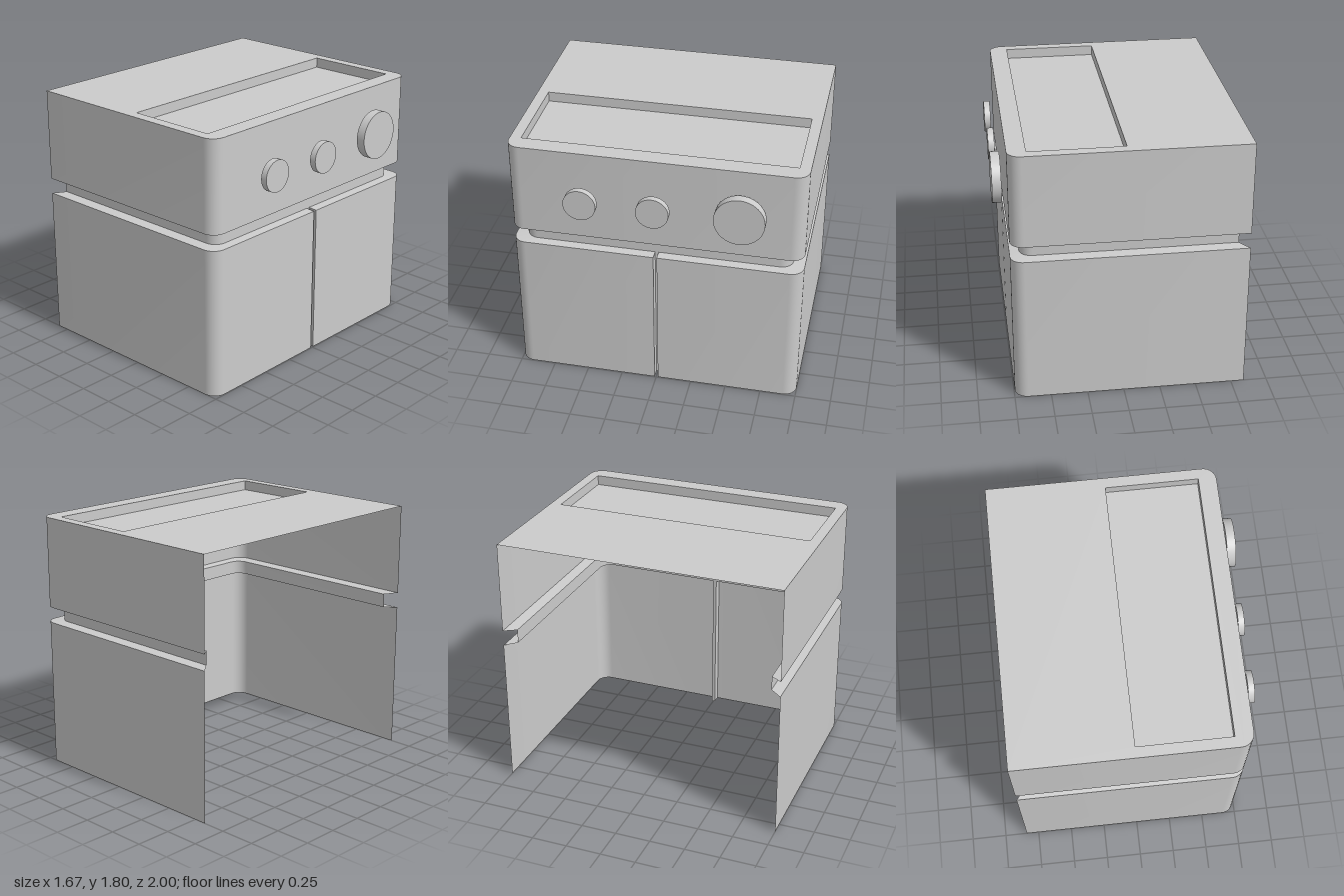
import * as THREE from 'three';
import { toCreasedNormals } from 'three/addons/utils/BufferGeometryUtils.js';

const BACK = -0.84, FACE = 0.745, HALF = 1, RADIUS = 0.09, HEIGHT = 1.8;
const MID = (BACK + FACE) / 2, INSET = 0.92, SLIT = 0.012;
const INNER_FACE = MID + (FACE - MID) * INSET;

const material = new THREE.MeshStandardMaterial({ color: 0xcccccc, side: THREE.DoubleSide });

function addMesh(parent, name, geometry) {
  const mesh = new THREE.Mesh(geometry, material);
  mesh.name = name;
  parent.add(mesh);
  return mesh;
}

// Open U-shaped outline [x, z]; the four middle points form the door slit
function outline(scale, slitX) {
  const half = [[BACK, HALF]];
  const steps = 8;
  for (let i = 0; i <= steps; i++) {
    const a = (Math.PI / 2) * (1 - i / steps);
    half.push([FACE - RADIUS + RADIUS * Math.cos(a), HALF - RADIUS + RADIUS * Math.sin(a)]);
  }
  const side = half.map(([x, z]) => [MID + (x - MID) * scale, z * scale]);
  side.push([MID + (FACE - MID) * scale, SLIT], [slitX, SLIT]);
  return [...side, ...side.slice().reverse().map(([x, z]) => [x, -z])];
}

// Skin a stack of outlines: rings = [{ y, points }]
function loft(rings) {
  const n = rings[0].points.length, positions = [], index = [];
  for (const { y, points } of rings) for (const [x, z] of points) positions.push(x, y, z);
  for (let j = 0; j < rings.length - 1; j++) {
    for (let i = 0; i < n - 1; i++) {
      const a = j * n + i, b = a + 1, c = b + n, d = a + n;
      index.push(a, b, c, a, c, d);
    }
  }
  const geometry = new THREE.BufferGeometry();
  geometry.setAttribute('position', new THREE.Float32BufferAttribute(positions, 3));
  geometry.setIndex(index);
  return toCreasedNormals(geometry, 0.5);
}

export function createModel() {
  const model = new THREE.Group();
  model.name = 'cabinet';

  const slitted = outline(1, INNER_FACE);
  const inner = outline(INSET, INNER_FACE);
  const outer = outline(1, FACE);

  // Lower cabinet with its door slit, recessed band and control panel
  addMesh(model, 'lowerCabinet', loft([
    { y: 0, points: slitted }, { y: 1.047, points: slitted }, { y: 1.052, points: inner },
  ]));
  addMesh(model, 'recessedBand', loft([{ y: 1.052, points: inner }, { y: 1.15, points: inner }]));
  addMesh(model, 'controlPanel', loft([
    { y: 1.15, points: inner }, { y: 1.157, points: outer }, { y: HEIGHT, points: outer },
  ]));

  // Worktop with a rectangular opening
  const x0 = -0.02, x1 = 0.62, z1 = 0.925, depth = 0.07;
  const rim = [[x0, z1], [x0, -z1], [x1, -z1], [x1, z1], [x0, z1]];
  const toVectors = (points) => points.map(([x, z]) => new THREE.Vector2(x, -z));
  const top = new THREE.Shape(toVectors(outer));
  top.holes.push(new THREE.Path(toVectors(rim)));
  addMesh(model, 'worktop', new THREE.ShapeGeometry(top).rotateX(-Math.PI / 2).translate(0, HEIGHT, 0));

  // Sunken tray
  addMesh(model, 'trayWalls', loft([{ y: HEIGHT - depth, points: rim }, { y: HEIGHT, points: rim }]));
  addMesh(model, 'trayFloor', new THREE.PlaneGeometry(x1 - x0, 2 * z1)
    .rotateX(-Math.PI / 2).translate((x0 + x1) / 2, HEIGHT - depth, 0));

  // Knobs standing off the panel: name, y, z, radius, thickness
  const knobs = [
    ['largeKnob', 1.47, -0.577, 0.17, 0.062],
    ['middleKnob', 1.452, 0, 0.111, 0.044],
    ['endKnob', 1.452, 0.49, 0.111, 0.044],
  ];
  for (const [name, y, z, radius, thickness] of knobs) {
    const knob = addMesh(model, name, new THREE.CylinderGeometry(radius, radius, thickness, 48).rotateZ(-Math.PI / 2));
    knob.position.set(0.804, y, z);
  }
  return model;
}
